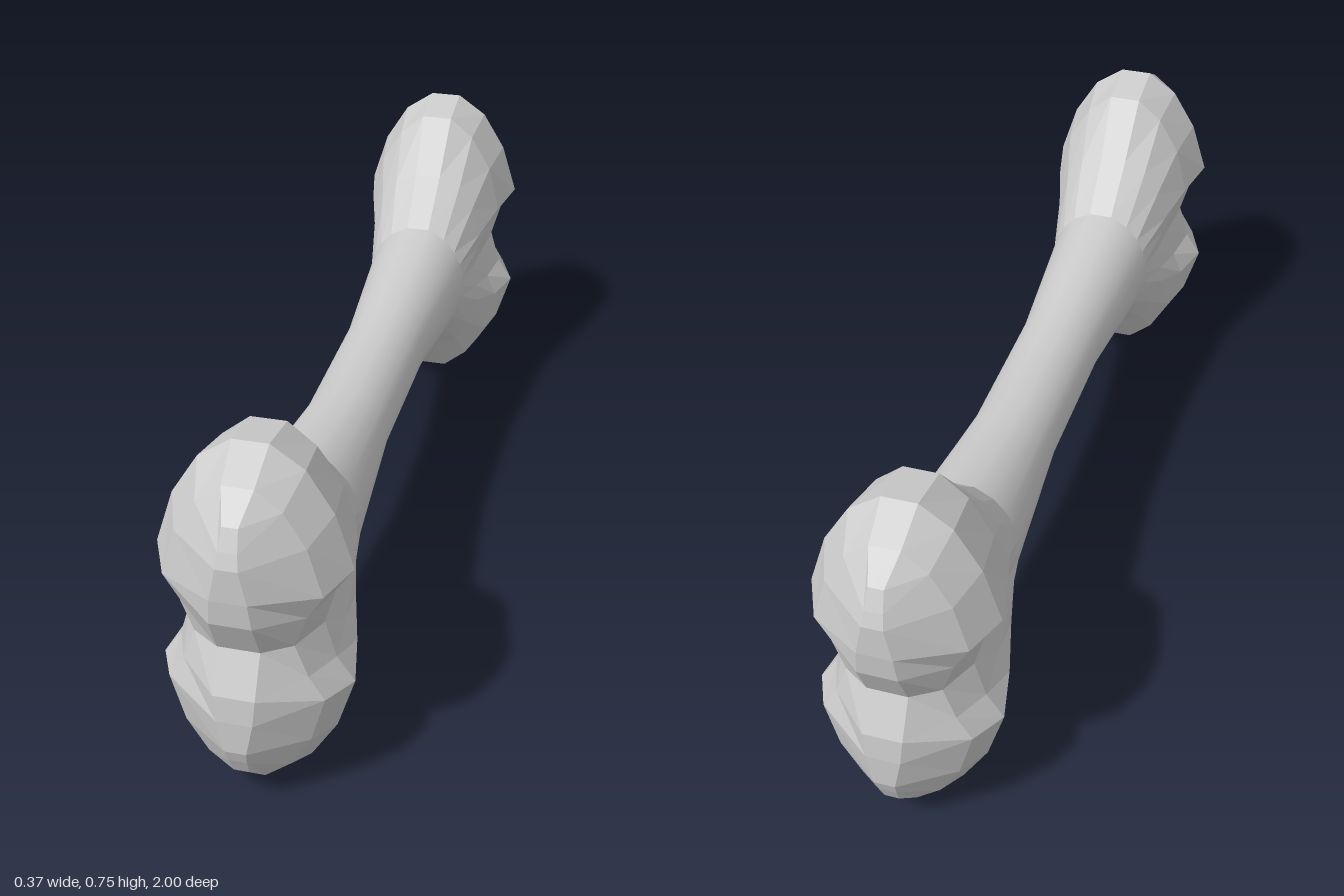
import * as THREE from 'three';

const MID = 0.3725; // height of the bone's axis
const ANGLES = [77, 56, 38, 24, 11, 0];

// Quarter section of the shaft: six points from the top to the side
const oval = (rx, ry, z) => ANGLES.map((d) => {
  const a = THREE.MathUtils.degToRad(d);
  return [rx * Math.cos(a), MID + ry * Math.sin(a), z];
});
const section = (z, pts) => pts.map(([x, y]) => [x, y, z]);

// Mirror a quarter section into a closed 22-point ring, starting at +x
function fullRing(q) {
  const up = [...q].reverse();
  const half = [...up, ...q.map(([x, y, z]) => [-x, y, z])];
  const lower = half.slice(1, 11).reverse().map(([x, y, z]) => [x, 2 * MID - y, z]);
  return [...half, ...lower];
}

// Skin a list of rings, optionally closing the last with a strip across x
function loft(sections, smooth, capped) {
  const rings = sections.map(fullRing);
  const n = 22;
  const index = [];
  const quad = (a, b, c, d) => index.push(a, b, c, a, c, d);
  for (let r = 0; r < rings.length - 1; r++) {
    for (let i = 0; i < n; i++) {
      const j = (i + 1) % n;
      quad(r * n + i, r * n + j, (r + 1) * n + j, (r + 1) * n + i);
    }
  }
  if (capped) {
    const last = (rings.length - 1) * n;
    const at = (i) => last + (i + n) % n;
    for (let i = -5; i < 5; i++) quad(at(i), at(i + 1), at(10 - i), at(11 - i));
  }
  const geo = new THREE.BufferGeometry();
  geo.setAttribute('position', new THREE.Float32BufferAttribute(rings.flat(2), 3));
  geo.setIndex(index);
  const out = smooth ? geo : geo.toNonIndexed();
  out.computeVertexNormals();
  return out;
}

export function createModel() {
  const bone = new THREE.Group();
  bone.name = 'bone';
  const smoothMat = new THREE.MeshStandardMaterial({ color: 0xcccccc });
  const facetMat = new THREE.MeshStandardMaterial({ color: 0xcccccc, flatShading: true });

  // Waisted shaft
  const shaft = new THREE.Mesh(loft([
    oval(0.118, 0.147, -0.52), oval(0.093, 0.093, -0.18),
    oval(0.093, 0.093, 0.18), oval(0.118, 0.147, 0.52),
  ], true, false), smoothMat);
  shaft.name = 'shaft';
  bone.add(shaft);

  // Two-lobed knuckle, flaring from the shaft to a narrow notched end strip
  const knuckleGeo = loft([
    oval(0.118, 0.147, 0.52),
    section(0.63, [[0.03, 0.61], [0.08, 0.585], [0.115, 0.535], [0.135, 0.465], [0.13, 0.425], [0.12, MID]]),
    section(0.73, [[0.035, 0.725], [0.09, 0.68], [0.137, 0.6], [0.163, 0.495], [0.142, 0.445], [0.125, MID]]),
    section(0.84, [[0.035, 0.745], [0.1, 0.7], [0.152, 0.615], [0.187, 0.502], [0.152, 0.45], [0.13, MID]]),
    section(0.92, [[0.03, 0.7], [0.08, 0.66], [0.122, 0.59], [0.15, 0.49], [0.12, 0.44], [0.095, MID]]),
    [[0.015, 0.65, 0.97], [0.018, 0.61, 0.989], [0.021, 0.58, 1],
      [0.035, 0.51, 1], [0.04, 0.455, 0.995], [0.041, MID, 0.955]],
  ], false, true);
  for (const [name, turn] of [['frontKnuckle', 0], ['backKnuckle', Math.PI]]) {
    const knuckle = new THREE.Mesh(knuckleGeo, facetMat);
    knuckle.name = name;
    knuckle.rotation.y = turn;
    bone.add(knuckle);
  }
  return bone;
}
